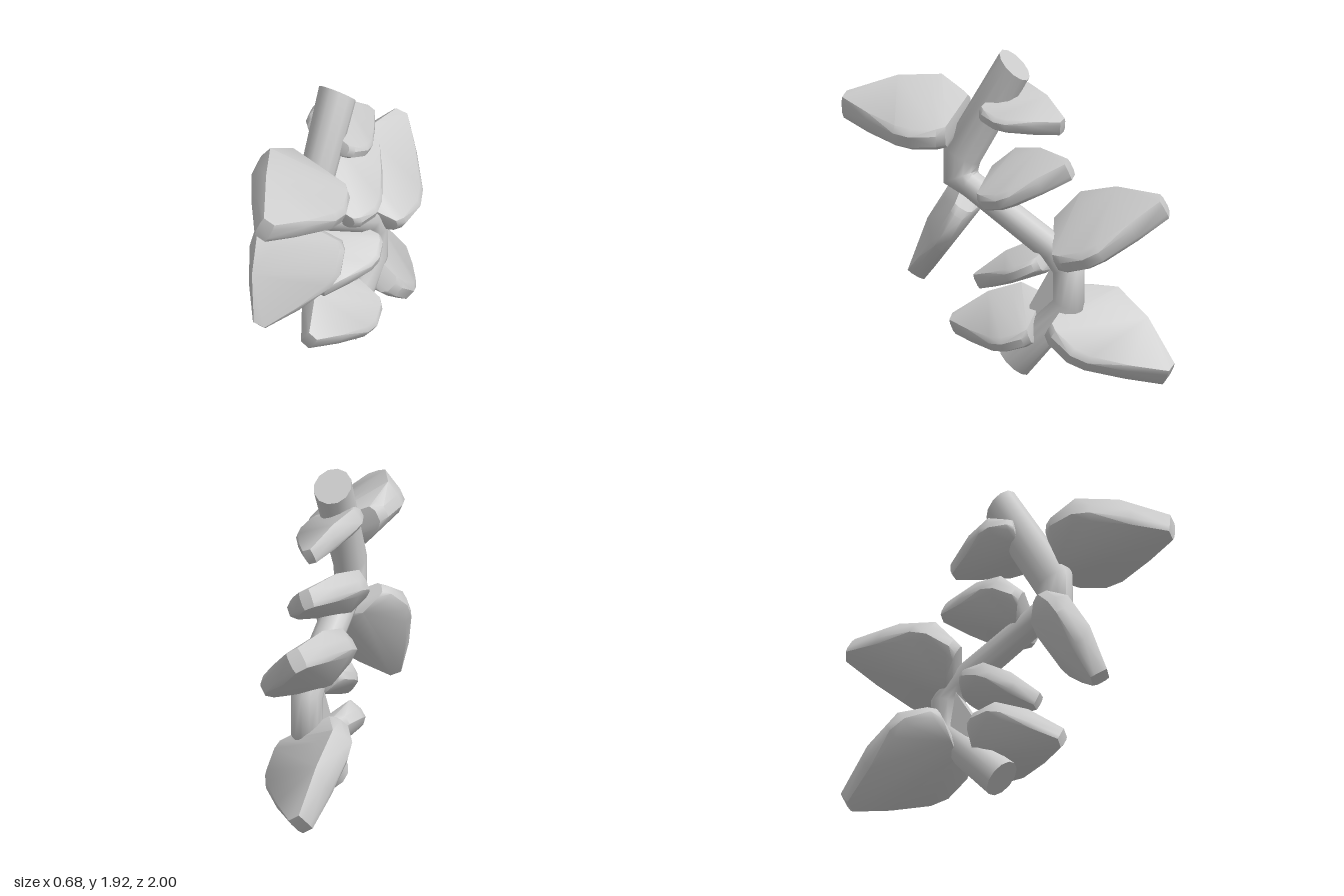
import * as THREE from 'three';
import { toCreasedNormals } from 'three/addons/utils/BufferGeometryUtils.js';
import { ConvexGeometry } from 'three/addons/geometries/ConvexGeometry.js';

const material = new THREE.MeshStandardMaterial({ color: 0xcccccc });
const V = (x, y, z) => new THREE.Vector3(x, y, z);

function part(name, geometry, crease) {
  const mesh = new THREE.Mesh(toCreasedNormals(geometry, crease), material);
  mesh.name = name;
  return mesh;
}

// half outline of a leaf: [along its length, across its width]
const OUTLINE = [[0, 0.35], [0.06, 0.42], [0.27, 0.5], [0.42, 0.47], [0.72, 0.29], [1, 0.07]];
// levels through the thickness: [height, inset of the outline]
const LEVELS = [[-0.5, 0.86], [-0.25, 1], [0.25, 1], [0.5, 0.88]];
// raised right-hand shoulder and blunt keel under the base: [along, across, height]
const BULGES = [[0.28, -0.46, 0.9], [0.62, -0.31, 0.95], [0.32, -0.25, 0.85],
  [0.04, -0.1, -1], [0.06, 0.1, -0.9], [0.4, 0, -0.75]];

// thick spade-shaped plate from base to tip; "across" points to its left-hand edge
function leaf(name, base, tip, across, width, thick) {
  const along = V(...tip).sub(V(...base));
  const dir = along.clone().normalize();
  const side = V(...across);
  side.addScaledVector(dir, -side.dot(dir)).normalize();
  const normal = V().crossVectors(dir, side);
  normal.multiplyScalar(Math.sign(normal.y));
  const at = (u, v, h) => V(...base).addScaledVector(along, u)
    .addScaledVector(side, v * width).addScaledVector(normal, h * thick);
  const points = BULGES.map((p) => at(...p));
  for (const [h, inset] of LEVELS) {
    for (const [u, v] of OUTLINE) {
      const x = 0.5 + (u - 0.5) * (0.9 + inset * 0.1);
      points.push(at(x, v * inset, h), at(x, -v * inset, h));
    }
  }
  return part(name, new ConvexGeometry(points), 0.7);
}

// zigzag stem: oval rings, each given by its front and back edge in the yz plane
function stem() {
  // [front z, front y, back z, back y, half width, x]
  const rings = [
    [0.03, 0.2, -0.135, 0.035, 0.105, -0.01], [-0.32, 0.5, -0.5, 0.43, 0.095, 0],
    [-0.32, 0.65, -0.5, 0.69, 0.095, 0], [-0.27, 0.71, -0.4, 0.83, 0.095, 0],
    [0.25, 1.06, 0.185, 1.2, 0.095, 0], [0.39, 1.13, 0.185, 1.21, 0.095, 0],
    [0.39, 1.36, 0.17, 1.25, 0.095, 0], [0.03, 1.93, -0.13, 1.76, 0.115, -0.02],
  ];
  const sides = 12, positions = [], index = [];
  for (const [fz, fy, bz, by, w, x] of rings) {
    for (let k = 0; k < sides; k++) {
      const q = (k / sides) * Math.PI * 2, s = Math.sin(q) / 2;
      positions.push(x + Math.cos(q) * w, (fy + by) / 2 + (fy - by) * s, (fz + bz) / 2 + (fz - bz) * s);
    }
  }
  const last = (rings.length - 1) * sides;
  for (let i = 0; i < last; i += sides) {
    for (let k = 0; k < sides; k++) {
      const a = i + k, b = i + (k + 1) % sides;
      index.push(a, a + sides, b, b, a + sides, b + sides);
    }
  }
  for (let k = 1; k < sides - 1; k++) {
    index.push(0, k, k + 1, last, last + k + 1, last + k);
  }
  const geometry = new THREE.BufferGeometry();
  geometry.setAttribute('position', new THREE.Float32BufferAttribute(positions, 3));
  geometry.setIndex(index);
  return part('stem', geometry, 0.9);
}

export function createModel() {
  const group = new THREE.Group();
  group.name = 'leafyStem';
  group.add(stem());

  // name, base, tip, across direction, width, thickness
  const leaves = [
    ['upperFrontLeaf', [0.03, 1.5, 0.29], [0.1, 1.565, 0.99], [0.55, -0.23, -0.02], 0.6, 0.14],
    ['upperBackLeaf', [0, 1.62, 0.09], [0, 1.505, -0.37], [0.38, -0.15, 0], 0.42, 0.09],
    ['middleBackLeaf', [0.01, 1.12, 0.11], [0, 1.26, -0.42], [0.42, -0.2, 0], 0.5, 0.11],
    ['middleFrontLeaf', [-0.02, 1.08, 0.24], [-0.14, 0.57, 0.64], [0.48, -0.13, -0.16], 0.56, 0.11],
    ['largeBackLeaf', [-0.01, 0.81, -0.33], [-0.15, 1.06, -0.96], [0.47, -0.27, -0.18], 0.6, 0.13],
    ['lowerBackLeaf', [-0.01, 0.43, -0.36], [-0.18, 0.07, -0.97], [0.5, -0.25, 0.1], 0.6, 0.13],
    ['lowerFrontLeaf', [0.01, 0.37, -0.22], [0.01, 0.31, 0.33], [0.4, -0.27, 0], 0.49, 0.11],
    ['smallFrontLeaf', [0, 0.74, -0.27], [0, 0.57, 0.18], [0.38, -0.1, 0], 0.4, 0.09],
  ];
  for (const args of leaves) group.add(leaf(...args));

  // fillet between the stem and the lower front leaf
  const fillet = [-0.07, 0.03].flatMap((x) => [
    V(x, 0.7, -0.32), V(x, 0.45, -0.17), V(x, 0.36, -0.17), V(x, 0.46, -0.36),
  ]);
  group.add(part('stemFillet', new ConvexGeometry(fillet), 0.6));
  return group;
}
